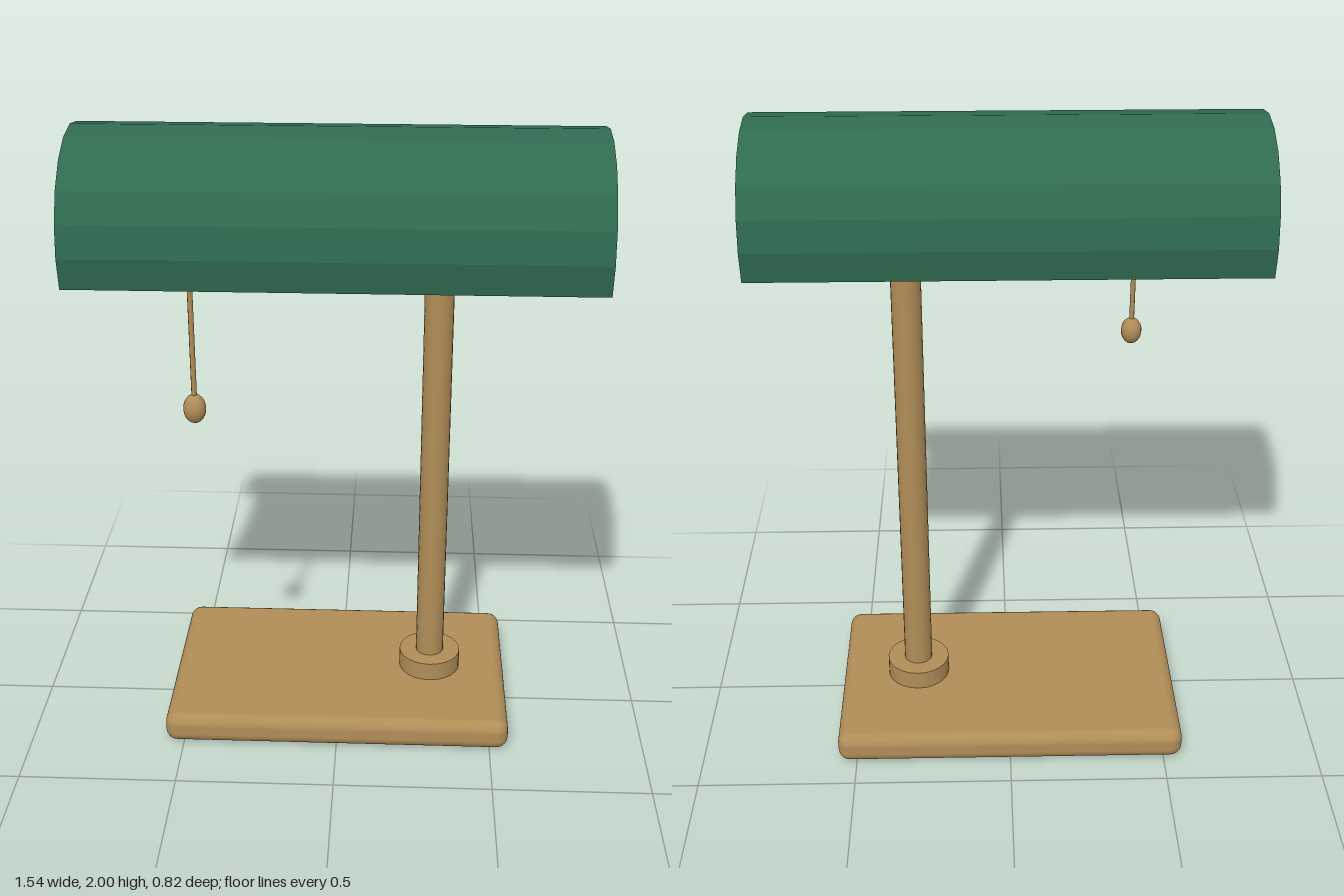
import * as THREE from 'three';
import { RoundedBoxGeometry } from 'three/addons/geometries/RoundedBoxGeometry.js';

const brass = new THREE.MeshStandardMaterial({ color: 0xb08d57 });
const green = new THREE.MeshStandardMaterial({ color: 0x2f6b4f, flatShading: true });
const white = new THREE.MeshStandardMaterial({ color: 0xe4e0dc, flatShading: true });
const cream = new THREE.MeshStandardMaterial({ color: 0xf0e6cc });

// Faceted trough along x: a ring sector of 12 flat panels, 18 degrees each
function troughGeometry(outer, inner, length) {
  const points = [];
  const steps = 12;
  const arc = (radius, i) => {
    const a = (-18 + 18 * i) * Math.PI / 180;
    points.push(new THREE.Vector2(radius * Math.cos(a), radius * Math.sin(a)));
  };
  for (let i = 0; i <= steps; i++) arc(outer, i);
  for (let i = steps; i >= 0; i--) arc(inner, i);
  const geometry = new THREE.ExtrudeGeometry(new THREE.Shape(points), { depth: length, bevelEnabled: false });
  return geometry.translate(0, 0, -length / 2).rotateY(Math.PI / 2);
}

// Cylinder between two points
function rodGeometry(from, to, radius, sides) {
  const a = new THREE.Vector3(...from);
  const b = new THREE.Vector3(...to);
  const dir = b.clone().sub(a);
  const geometry = new THREE.CylinderGeometry(radius, radius, dir.length(), sides);
  geometry.applyQuaternion(new THREE.Quaternion().setFromUnitVectors(new THREE.Vector3(0, 1, 0), dir.normalize()));
  const mid = a.add(b).multiplyScalar(0.5);
  return geometry.translate(mid.x, mid.y, mid.z);
}

export function createModel() {
  const lamp = new THREE.Group();
  lamp.name = 'deskLamp';
  const add = (name, geometry, material, x = 0, y = 0, z = 0) => {
    const mesh = new THREE.Mesh(geometry, material);
    mesh.name = name;
    mesh.position.set(x, y, z);
    lamp.add(mesh);
    return mesh;
  };

  // Base, collar and off-centre post
  const postX = 0.305, postZ = -0.048;
  add('base', new RoundedBoxGeometry(1.12, 0.102, 0.716, 3, 0.038), brass, 0, 0.052, -0.051);
  add('collar', rodGeometry([postX, 0.09, postZ], [postX, 0.165, postZ], 0.102, 24), brass);
  add('post', rodGeometry([postX, 0.1, postZ], [postX, 1.595, postZ], 0.046, 20), brass);

  // Slanted arm from the post to the middle of the bulb
  add('arm', rodGeometry([postX, 1.585, postZ], [0.02, 1.68, 0.098], 0.034, 16), brass);

  // Tube bulb
  add('bulb', new THREE.CapsuleGeometry(0.042, 1.22, 6, 20).rotateZ(Math.PI / 2), cream, 0, 1.684, 0.105);

  // Green shade with a pale lining
  add('shade', troughGeometry(0.305, 0.288, 1.536), green, 0, 1.695, 0.102);
  add('shadeLining', troughGeometry(0.289, 0.275, 1.52), white, 0, 1.695, 0.102);

  // Pull cord with an oval knob
  const cordX = -0.414, cordZ = 0.311;
  add('pullCord', rodGeometry([cordX, 1.22, cordZ], [cordX, 1.695, cordZ], 0.008, 8), brass);
  add('pullKnob', new THREE.SphereGeometry(0.034, 16, 12).scale(1, 1.32, 1), brass, cordX, 1.209, cordZ);

  return lamp;
}
